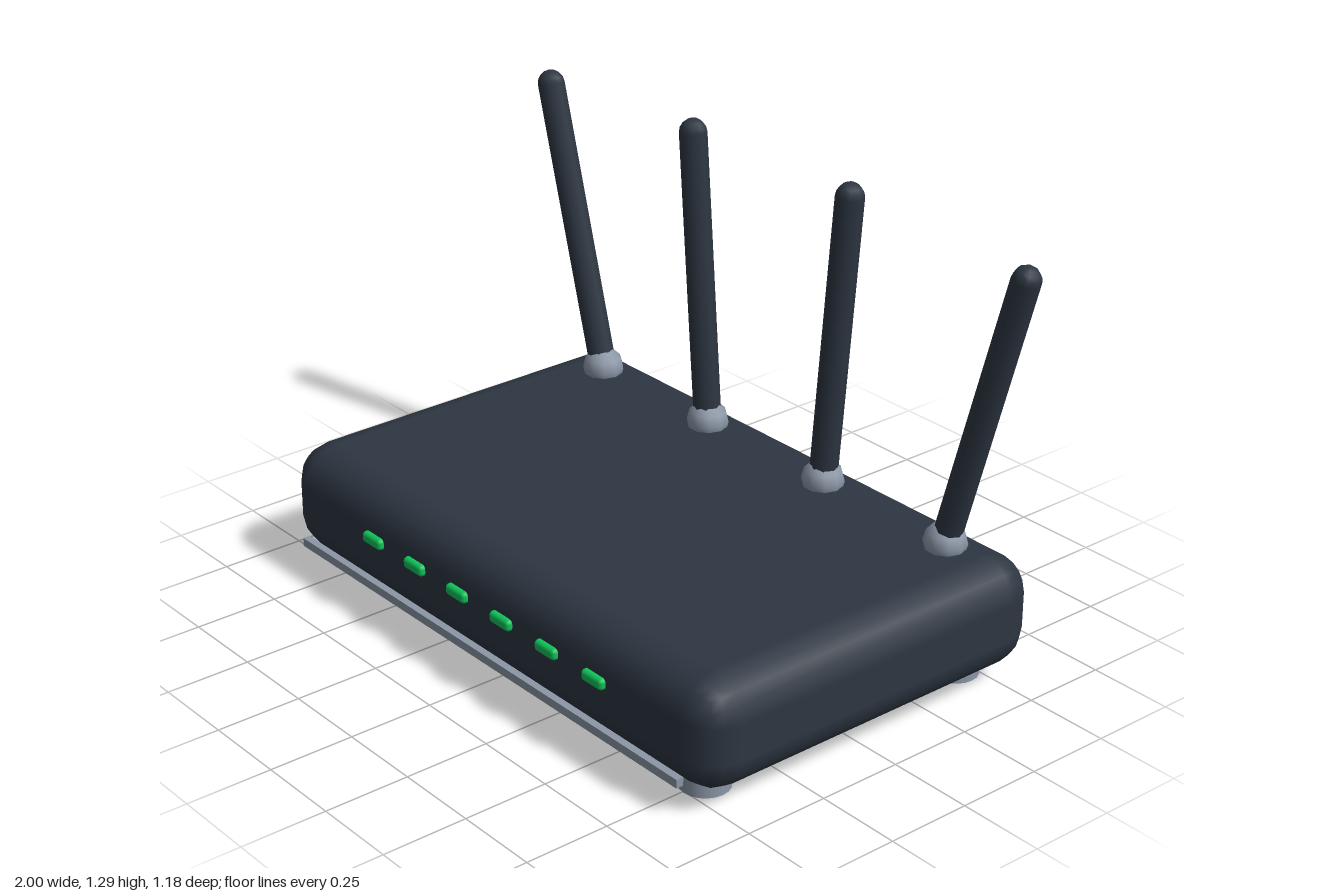
import * as THREE from 'three';
import { RoundedBoxGeometry } from 'three/addons/geometries/RoundedBoxGeometry.js';

export function createModel() {
  const router = new THREE.Group();
  router.name = 'router';

  const material = (name, color) => {
    const m = new THREE.MeshStandardMaterial({ color });
    m.name = name;
    return m;
  };
  const darkShell = material('darkShell', 0x2d3642);
  const greyTrim = material('greyTrim', 0x8b96a6);
  const greenLight = material('greenLight', 0x0fc45a);

  const add = (name, geometry, mat, x, y, z, parent = router) => {
    const mesh = new THREE.Mesh(geometry, mat);
    mesh.name = name;
    mesh.position.set(x, y, z);
    parent.add(mesh);
    return mesh;
  };

  // Rounded housing
  const bodyZ = -0.0075;
  add('housing', new RoundedBoxGeometry(1.86, 0.325, 1.165, 2, 0.11), darkShell, 0, 0.2125, bodyZ);

  // Trim bar along the lower front
  add('frontTrim', new THREE.BoxGeometry(1.66, 0.025, 0.022), greyTrim, 0, 0.097, 0.581);

  // Row of status lights
  const lightGeometry = new RoundedBoxGeometry(0.085, 0.034, 0.034, 2, 0.012);
  for (let i = 0; i < 6; i++) {
    add('statusLight', lightGeometry, greenLight, (i - 2.5) * 0.195, 0.238, 0.575);
  }

  // Four round feet
  const footGeometry = new THREE.CylinderGeometry(0.07, 0.07, 0.06, 20);
  for (const x of [-0.757, 0.757]) {
    for (const z of [-0.443, 0.443]) add('foot', footGeometry, greyTrim, x, 0.03, bodyZ + z);
  }

  // Antennas leaning outwards from ball joints
  const length = 0.863;
  const jointGeometry = new THREE.SphereGeometry(0.062, 10, 6);
  const rodGeometry = new THREE.CapsuleGeometry(0.04, length, 4, 8);
  for (const side of [-1, 1]) {
    for (const [x, lean] of [[0.725, 0.276], [0.245, 0.085]]) {
      const antenna = new THREE.Group();
      antenna.name = 'antenna';
      antenna.position.set(side * x, 0.39, -0.428);
      router.add(antenna);
      add('antennaJoint', jointGeometry, greyTrim, 0, 0, 0, antenna);
      const pivot = new THREE.Group();
      pivot.name = 'antennaPivot';
      pivot.rotation.z = -side * lean;
      antenna.add(pivot);
      add('antennaRod', rodGeometry, darkShell, 0, length / 2, 0, pivot);
    }
  }

  return router;
}
